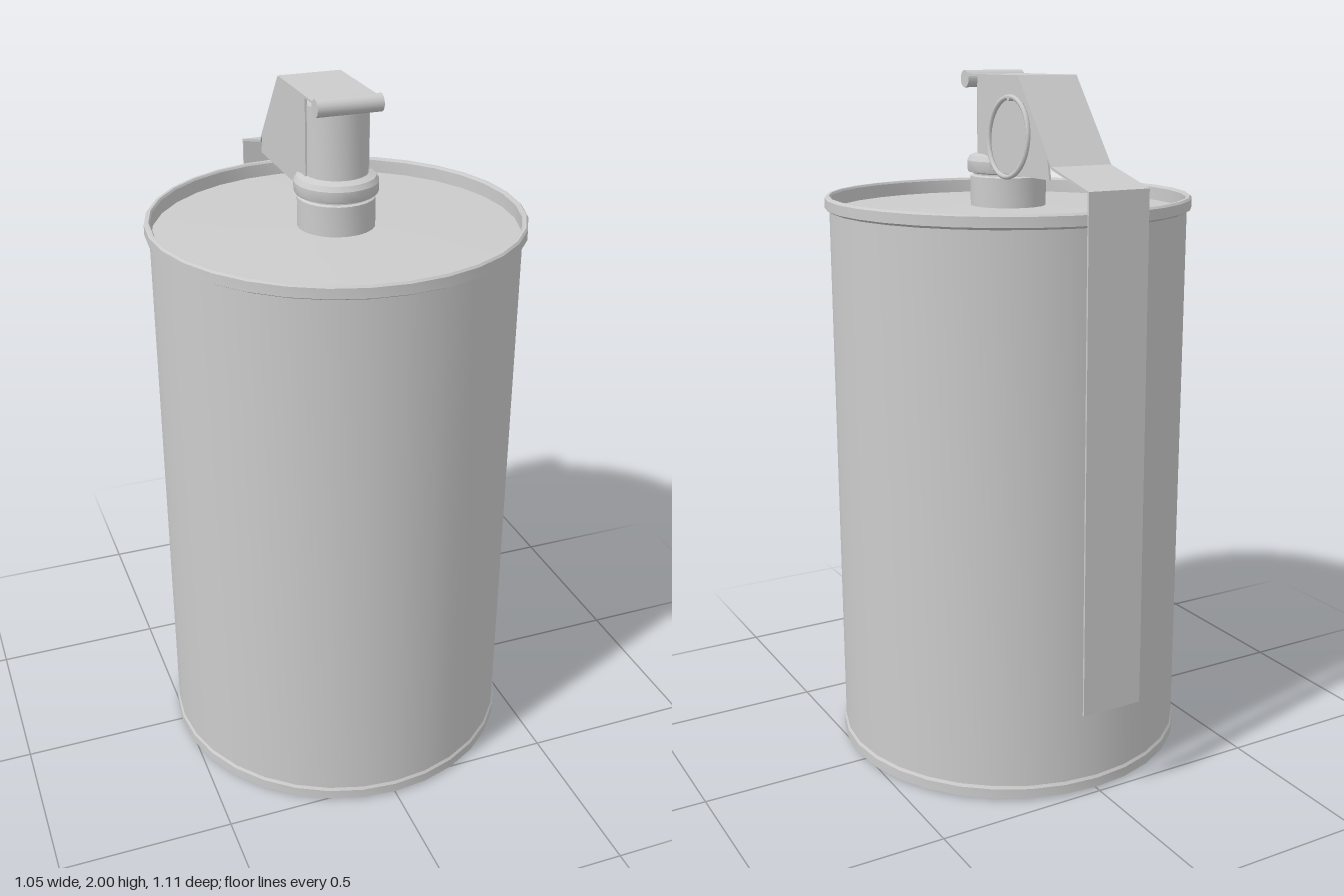
import * as THREE from 'three';
import { toCreasedNormals } from 'three/addons/utils/BufferGeometryUtils.js';

const AXIS_Z = 0.03; // the can sits slightly forward to balance the lever
const LEVER_W = 0.184;

export function createModel() {
  const model = new THREE.Group();
  const material = new THREE.MeshStandardMaterial({ color: 0xcccccc, side: THREE.DoubleSide });

  function add(name, geometry, x = 0, y = 0, z = 0) {
    const mesh = new THREE.Mesh(geometry, material);
    mesh.name = name;
    mesh.position.set(x, y, z);
    model.add(mesh);
    return mesh;
  }

  // Revolved part from [radius, height] pairs, bottom to top
  function turned(name, profile, sides) {
    const points = profile.map(([r, y]) => new THREE.Vector2(r, y));
    return add(name, toCreasedNormals(new THREE.LatheGeometry(points, sides), 0.5), 0, 0, AXIS_Z);
  }

  // Side outline of [z, y] pairs extruded along x
  function sidePlate(name, outline, width, x) {
    const shape = new THREE.Shape(outline.map(([z, y]) => new THREE.Vector2(-z, y)));
    const geometry = new THREE.ExtrudeGeometry(shape, { depth: width, bevelEnabled: false });
    geometry.rotateY(Math.PI / 2).translate(-width / 2, 0, 0);
    return add(name, geometry, x);
  }

  // Canister with bottom bead, top rim and recessed lid
  turned('canister', [
    [0, 0.005], [0.505, 0.005], [0.517, 0.012], [0.517, 0.04], [0.512, 0.048],
    [0.512, 1.615], [0.525, 1.622], [0.525, 1.65], [0.52, 1.656], [0.512, 1.656],
    [0.508, 1.65], [0.508, 1.612], [0.1, 1.625], [0, 1.625],
  ], 32);

  // Neck, collar and round head of the igniter
  turned('neck', [
    [0.108, 1.6], [0.108, 1.708], [0.1, 1.712], [0.1, 1.716], [0.114, 1.72],
    [0.117, 1.727], [0.117, 1.752], [0.109, 1.766], [0.088, 1.774],
    [0.088, 1.965], [0, 1.965],
  ], 24);

  // Folded lever: top, slope, shoulder and long handle
  const t = 0.006;
  sidePlate('lever', [
    [0.12, 1.99], [-0.185, 1.99], [-0.362, 1.762], [-0.541, 1.714], [-0.553, 0.285],
    [-0.553 + t, 0.285], [-0.541 + t, 1.709], [-0.36, 1.755], [-0.182, 1.984], [0.12, 1.984],
  ], LEVER_W, 0);

  // Cheeks of the lever on both sides of the head
  for (const side of [-1, 1]) {
    sidePlate(side > 0 ? 'leftCheek' : 'rightCheek', [
      [0.04, 1.988], [-0.185, 1.988], [-0.338, 1.789], [-0.35, 1.727], [-0.07, 1.727], [0.04, 1.75],
    ], t, side * (LEVER_W / 2 - t / 2));
  }

  // Rolled front edge of the lever
  const roll = new THREE.CylinderGeometry(0.024, 0.024, LEVER_W, 16).rotateZ(Math.PI / 2);
  add('hingeRoll', roll, 0, 1.976, 0.118);

  // Pull ring hanging from its pin, leaning slightly outwards at the bottom
  const ring = add('pullRing',
    new THREE.TorusGeometry(0.106, 0.007, 8, 32).rotateY(Math.PI / 2), 0.108, 1.828, -0.16);
  ring.rotation.z = 0.07;
  const pin = new THREE.CylinderGeometry(0.007, 0.007, 0.03, 10).rotateZ(Math.PI / 2);
  add('pin', pin, 0.093, 1.93, -0.16);

  return model;
}
